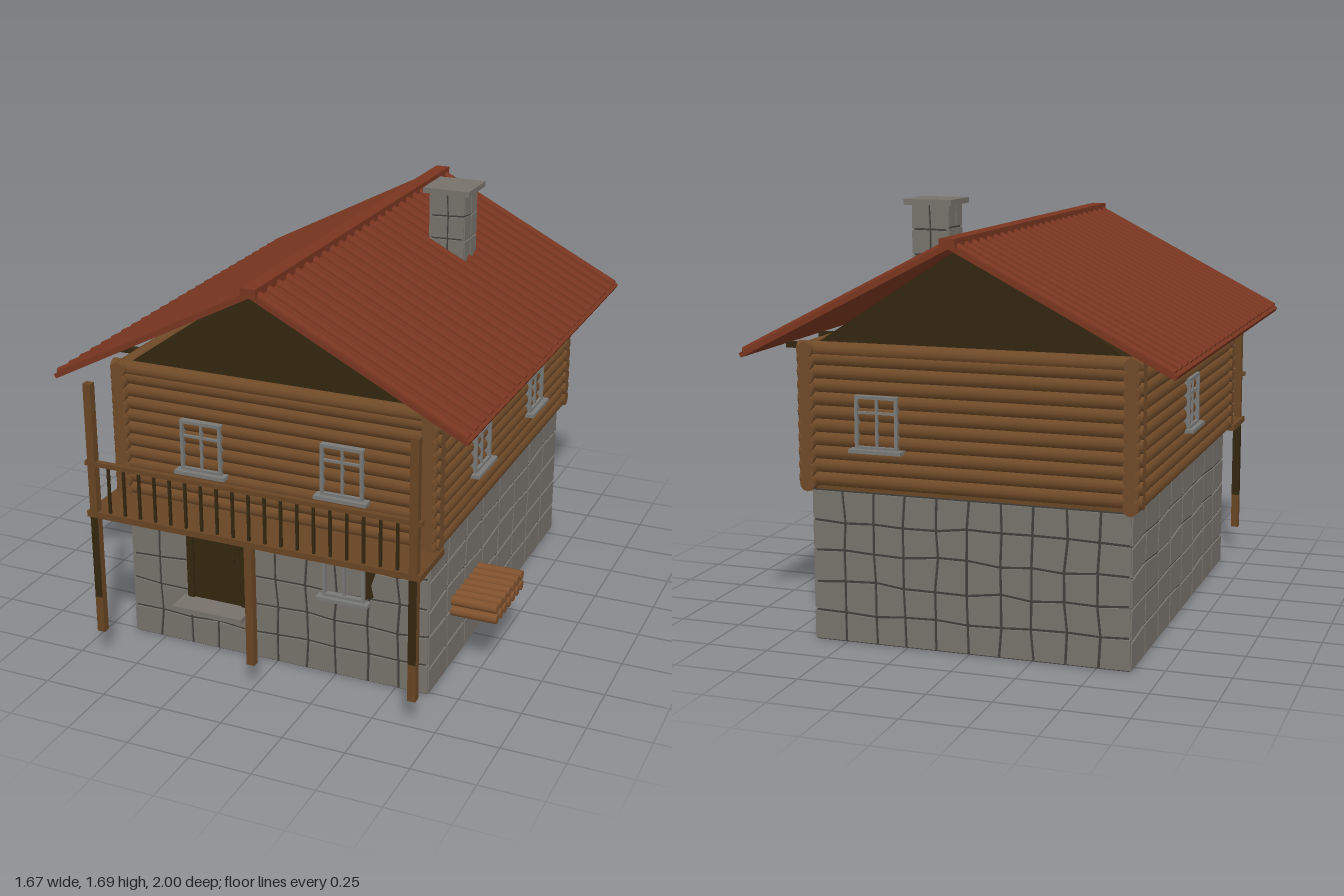
import * as THREE from 'three';
import { mergeGeometries } from 'three/addons/utils/BufferGeometryUtils.js';

const material = (name, color) => {
  const m = new THREE.MeshStandardMaterial({ color });
  m.name = name;
  return m;
};

export function createModel() {
  const stone = material('stone', 0x76726b);
  const mortar = material('mortar', 0x403e39);
  const wood = material('log wood', 0x6f4a28);
  const plank = material('plank wood', 0x684524);
  const dark = material('dark wood', 0x33260f);
  const roofRed = material('roof red', 0x78351f);
  const frameGrey = material('frame grey', 0x787876);
  const firewood = material('firewood', 0x80522e);

  const model = new THREE.Group();
  model.name = 'chalet';

  let seed = 7;
  const jitter = (amount) => {
    seed = (seed * 16807) % 2147483647;
    return (seed / 2147483647 - 0.5) * 2 * amount;
  };

  const add = (name, geometry, mat, parent = model) => {
    const mesh = new THREE.Mesh(geometry, mat);
    mesh.name = name;
    parent.add(mesh);
    return mesh;
  };
  // Box given by its low and high limits on each axis
  const box = (x0, x1, y0, y1, z0, z1) =>
    new THREE.BoxGeometry(x1 - x0, y1 - y0, z1 - z0)
      .translate((x0 + x1) / 2, (y0 + y1) / 2, (z0 + z1) / 2);
  const log = (radius, length, axis, sides = 12) => {
    const g = new THREE.CylinderGeometry(radius, radius, length, sides);
    return axis === 'x' ? g.rotateZ(Math.PI / 2) : g.rotateX(Math.PI / 2);
  };

  // One wall of irregular stone blocks, facing +z, standing on y = 0
  const stoneFace = (w, h, cols, rows, wobble, gap) => {
    const points = [];
    for (let r = 0; r <= rows; r++) {
      points.push([]);
      for (let c = 0; c <= cols; c++) {
        const dx = c % cols ? jitter(wobble) : 0;
        const dy = r % rows ? jitter(wobble) : 0;
        points[r].push([(c / cols - 0.5) * w + dx, (r / rows) * h + dy]);
      }
    }
    const blocks = [];
    for (let r = 0; r < rows; r++) {
      for (let c = 0; c < cols; c++) {
        const corner = (i, j, sx, sy) => {
          const p = points[r + i][c + j];
          return new THREE.Vector2(p[0] + sx * gap, p[1] + sy * gap);
        };
        const shape = new THREE.Shape([corner(0, 0, 1, 1), corner(0, 1, -1, 1),
          corner(1, 1, -1, -1), corner(1, 0, 1, -1)]);
        blocks.push(new THREE.ExtrudeGeometry(shape, { depth: 0.012, bevelEnabled: false }));
      }
    }
    return mergeGeometries(blocks);
  };
  // Four stone walls around a mortar core
  const masonry = (name, x, y, z, w, h, d, colsX, colsZ, rows, wobble, gap) => {
    const group = new THREE.Group();
    group.name = name;
    group.position.set(x, y, z);
    const t = 0.007;
    add(name + 'Mortar', box(-w / 2 + t, w / 2 - t, 0, h, -d / 2 + t, d / 2 - t),
      [mortar, mortar, mortar, stone, mortar, mortar], group);
    for (let i = 0; i < 4; i++) {
      const side = i % 2 === 1;
      const face = stoneFace(side ? d : w, h, side ? colsZ : colsX, rows, wobble, gap);
      face.translate(0, 0, (side ? w : d) / 2 - 0.012);
      add(name + 'Stones', face.rotateY(i * Math.PI / 2), stone, group);
    }
    model.add(group);
  };
  masonry('foundation', 0, 0, -0.02, 1.27, 0.6, 1.58, 10, 8, 5, 0.009, 0.0055);
  masonry('chimney', 0.287, 1.28, -0.355, 0.155, 0.39, 0.15, 2, 2, 4, 0.005, 0.004);
  add('chimneyCap', box(0.19, 0.388, 1.665, 1.687, -0.455, -0.257), stone);

  // Upper storey of crossing logs
  const sideLogs = [], endLogs = [];
  for (let i = 0; i < 11; i++) {
    const y = 0.628 + i * 0.0515;
    for (const s of [-1, 1]) {
      sideLogs.push(log(0.03, 1.66, 'z').translate(s * 0.635, y, -0.02));
      endLogs.push(log(0.03, 1.35, 'x').translate(0, y + (i < 10 ? 0.018 : 0), -0.02 + s * 0.785));
    }
  }
  add('sideLogs', mergeGeometries(sideLogs), wood);
  add('endLogs', mergeGeometries(endLogs), wood);
  add('upperFloor', box(-0.63, 0.63, 0.598, 0.62, -0.8, 0.76), plank);

  // Attic with its two gables
  const gable = new THREE.Shape([new THREE.Vector2(-0.65, 1.135),
    new THREE.Vector2(0.65, 1.135), new THREE.Vector2(0, 1.555)]);
  add('attic', new THREE.ExtrudeGeometry(gable, { depth: 1.57, bevelEnabled: false })
    .translate(0, 0, -0.805), dark);
  for (const z of [0.55, 0.255, -0.04, -0.34, -0.635])
    add('tieBeam', box(-0.81, 0.81, 1.115, 1.137, z - 0.014, z + 0.014), dark);

  // Roof slopes with raised ribs
  const slope = Math.atan2(0.425, 0.825), length = 0.935;
  for (const s of [-1, 1]) {
    const side = new THREE.Group();
    side.name = s > 0 ? 'leftRoof' : 'rightRoof';
    side.position.set(0, 1.565, -0.025);
    side.rotation.z = -s * slope;
    add('roofSheet', box(-length / 2, length / 2, -0.012, 0.006, -0.965, 0.965)
      .translate(s * length / 2, 0, 0), roofRed, side);
    const ribs = [];
    for (let i = 0; i < 25; i++) {
      const rib = log(0.021, length - 0.015, 'x', 10);
      rib.scale(1, 0.75, 1).translate(s * (length - 0.015) / 2, 0.006, -0.94 + i * 1.88 / 24);
      ribs.push(rib);
    }
    add('roofRibs', mergeGeometries(ribs), roofRed, side);
    model.add(side);
  }
  add('ridgeCap', box(-0.03, 0.03, 1.553, 1.59, -1, 0.95), roofRed);

  // Windows: open frames with glazing bars and a sill, turned to their wall
  const addWindow = (x, y, z, angle, h = 0.205) => {
    const w = 0.172, b = 0.012;
    const bars = [
      box(-w / 2, w / 2, h - b, h, -0.02, 0.012), box(-w / 2, w / 2, 0, b, -0.02, 0.012),
      box(-w / 2, -w / 2 + b, 0, h, -0.02, 0.012), box(w / 2 - b, w / 2, 0, h, -0.02, 0.012),
      box(-0.005, 0.005, 0, h, -0.02, 0.006),
      box(-w / 2, w / 2, h * 0.66, h * 0.66 + 0.009, -0.02, 0.006),
      box(-0.106, 0.106, -0.012, 0.002, -0.02, 0.032),
    ];
    const mesh = add('windowFrame', mergeGeometries(bars), frameGrey);
    mesh.position.set(x, y, z);
    mesh.rotation.y = angle;
  };
  addWindow(-0.29, 0.775, 0.795, 0);
  addWindow(0.293, 0.775, 0.795, 0);
  addWindow(0.665, 0.775, 0.315, Math.PI / 2);
  addWindow(0.665, 0.775, -0.353, Math.PI / 2);
  addWindow(-0.665, 0.775, -0.01, -Math.PI / 2);
  addWindow(0.35, 0.775, -0.835, Math.PI);
  addWindow(0.291, 0.345, 0.776, 0);

  // Door with frame and step
  add('door', box(-0.35, -0.15, 0.215, 0.6, 0.75, 0.776), dark);
  for (const x of [-0.38, -0.145])
    add('doorJamb', box(x, x + 0.027, 0.215, 0.6, 0.75, 0.784), dark);
  add('doorHandle', box(-0.178, -0.17, 0.4, 0.42, 0.776, 0.79), dark);
  add('doorStep', box(-0.4, -0.1, 0.195, 0.217, 0.76, 0.88), stone);

  // Dark worn patches on the front stonework
  const patch = (...pts) => add('wallPatch', new THREE.ShapeGeometry(
    new THREE.Shape(pts.map(p => new THREE.Vector2(...p)))).translate(0, 0, 0.7715), dark);
  patch([-0.12, 0.42], [-0.1, 0.44], [-0.1, 0.52], [-0.08, 0.56], [-0.04, 0.58], [-0.04, 0.6], [-0.12, 0.6]);
  patch([0.37, 0.35], [0.41, 0.37], [0.4, 0.42], [0.42, 0.48], [0.4, 0.55], [0.37, 0.55]);

  // Balcony
  add('balconyFloor', box(-0.685, 0.685, 0.603, 0.627, 0.76, 1), plank);
  add('handrail', box(-0.685, 0.685, 0.817, 0.835, 0.974, 0.997), plank);
  const balusters = [];
  for (let i = 0; i < 19; i++) {
    const x = -0.59 + i * 1.18 / 18;
    balusters.push(box(x - 0.005, x + 0.005, 0.625, 0.82, 0.98, 0.99));
  }
  add('balusters', mergeGeometries(balusters), dark);
  for (const x of [-0.655, 0.655]) {
    add('postFoot', box(x - 0.016, x + 0.016, 0.108, 0.26, 0.969, 1), plank);
    add('postShaft', box(x - 0.016, x + 0.016, 0.26, 0.605, 0.969, 1),
      [plank, dark, dark, dark, dark, dark]);
    add('postTop', box(x - 0.016, x + 0.016, 0.605, 1.15, 0.969, 1), plank);
  }
  add('middlePost', box(-0.016, 0.016, 0.108, 0.605, 0.969, 1), plank);

  // Firewood stacked against the side wall
  const pieces = [];
  for (let i = 0; i < 7; i++)
    for (const y of [0.242, 0.286])
      pieces.push(log(0.021, 0.19, 'x', 8).translate(0.725, y, 0.222 + i * 0.0498));
  add('firewoodStack', mergeGeometries(pieces), firewood);

  return model;
}
